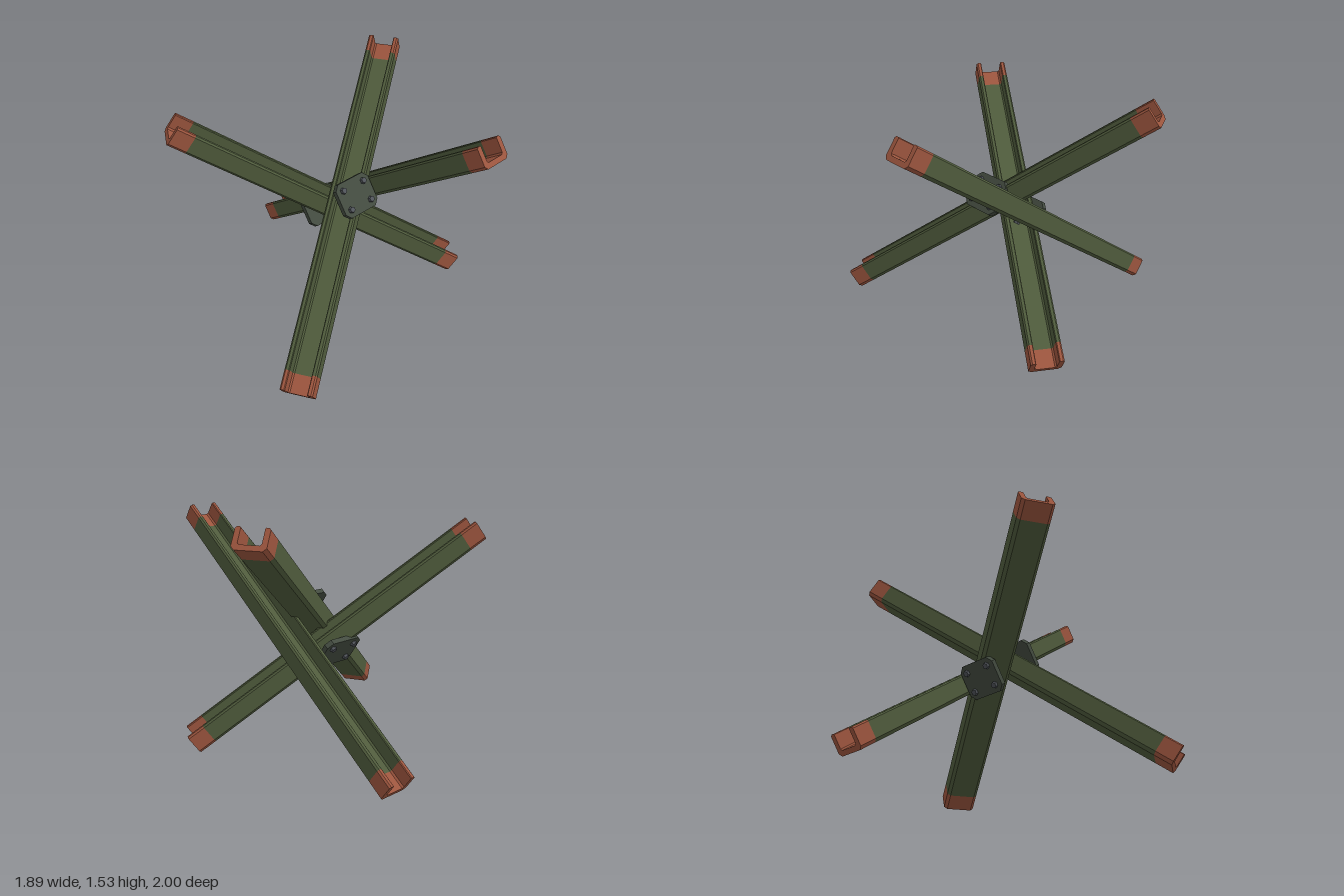
import * as THREE from 'three';

const green = new THREE.MeshStandardMaterial({ color: 0x4f5b3c, flatShading: true });
const rust = new THREE.MeshStandardMaterial({ color: 0x9c553e, flatShading: true });
const plateMat = new THREE.MeshStandardMaterial({ color: 0x434b40, flatShading: true });
const boltMat = new THREE.MeshStandardMaterial({ color: 0x50545a, flatShading: true });

const W = 0.205, D = 0.137, T = 0.033, CAP = 0.12;
const TILT = Math.asin(1 / Math.sqrt(3)); // beam axes are mutually perpendicular

function mesh(geometry, material, name) {
  const m = new THREE.Mesh(geometry, material);
  m.name = name;
  return m;
}

// U-channel section: web at the bottom, flanges up, corners chamfered
function channelShape() {
  const w = W / 2, d = D / 2, i = w - T, c = 0.02, e = 0.01;
  const half = [
    [w - c, -d], [w, -d + c], [w, d - e], [w - e, d], [i + e / 2, d],
    [i, d - e / 2], [i, -d + T + e], [i - e, -d + T],
  ];
  const mirrored = half.map(([x, y]) => [-x, y]).reverse();
  return new THREE.Shape([...half, ...mirrored].map(([x, y]) => new THREE.Vector2(x, y)));
}

function extrude(shape, depth, z) {
  return new THREE.ExtrudeGeometry(shape, { depth, bevelEnabled: false }).translate(0, 0, z);
}

// Beam rising along the given heading (angle from +z towards +x)
function beam(name, length, heading, position) {
  const g = new THREE.Group();
  g.name = name;
  const shape = channelShape(), h = length / 2;
  g.add(mesh(extrude(shape, length - 2 * CAP, -h + CAP), green, 'channel'));
  g.add(mesh(extrude(shape, CAP, -h), rust, 'lowerRustedEnd'));
  g.add(mesh(extrude(shape, CAP, h - CAP), rust, 'upperRustedEnd'));
  g.rotation.set(-TILT, heading, 0, 'YXZ');
  g.position.set(...position);
  return g;
}

// Six-sided bolt head standing on a face that looks along +z
function bolt(x, y, z, r = 0.024) {
  const geo = new THREE.CylinderGeometry(r * 0.8, r, 0.024, 6).rotateX(Math.PI / 2);
  const b = mesh(geo, boltMat, 'bolt');
  b.position.set(x, y, z);
  return b;
}

// Gusset plate with cut corners and four bolts
function gusset(name, position, facing) {
  const g = new THREE.Group();
  g.name = name;
  const a = 0.14, b = 0.115, c = 0.035, t = 0.034;
  const pts = [
    [a, -b + c], [a, b - c], [a - c, b], [-a + c, b],
    [-a, b - c], [-a, -b + c], [-a + c, -b], [a - c, -b],
  ].map(([x, y]) => new THREE.Vector2(x, y));
  g.add(mesh(extrude(new THREE.Shape(pts), t, -t / 2), plateMat, 'plate'));
  for (const x of [-0.087, 0.087])
    for (const y of [-0.065, 0.065]) g.add(bolt(x, y, t / 2 + 0.006));
  g.rotation.set(facing > 0 ? -TILT : Math.PI - TILT, 0, 0);
  g.position.set(...position);
  return g;
}

export function createModel() {
  const model = new THREE.Group();
  model.name = 'antiTankObstacle';

  // Three crossing beams, headings a third of a turn apart
  const third = (2 * Math.PI) / 3;
  model.add(beam('longBeam', 2.45, third, [0, 0.765, 0.095]));
  model.add(beam('shortBeam', 2.267, -third, [0, 0.71, -0.1]));
  const side = beam('sideBeam', 2.353, 0, [0.295, 0.735, 0]);
  model.add(side);

  // Bolt on the underside of the side beam
  const sideBolt = bolt(0, -D / 2 - 0.003, 0.13);
  sideBolt.rotation.x = Math.PI / 2;
  side.add(sideBolt);

  // Plates clamping the crossing from both sides
  model.add(gusset('frontGusset', [0.03, 0.855, 0.163], 1));
  model.add(gusset('backGusset', [0.03, 0.62, -0.163], -1));
  return model;
}
